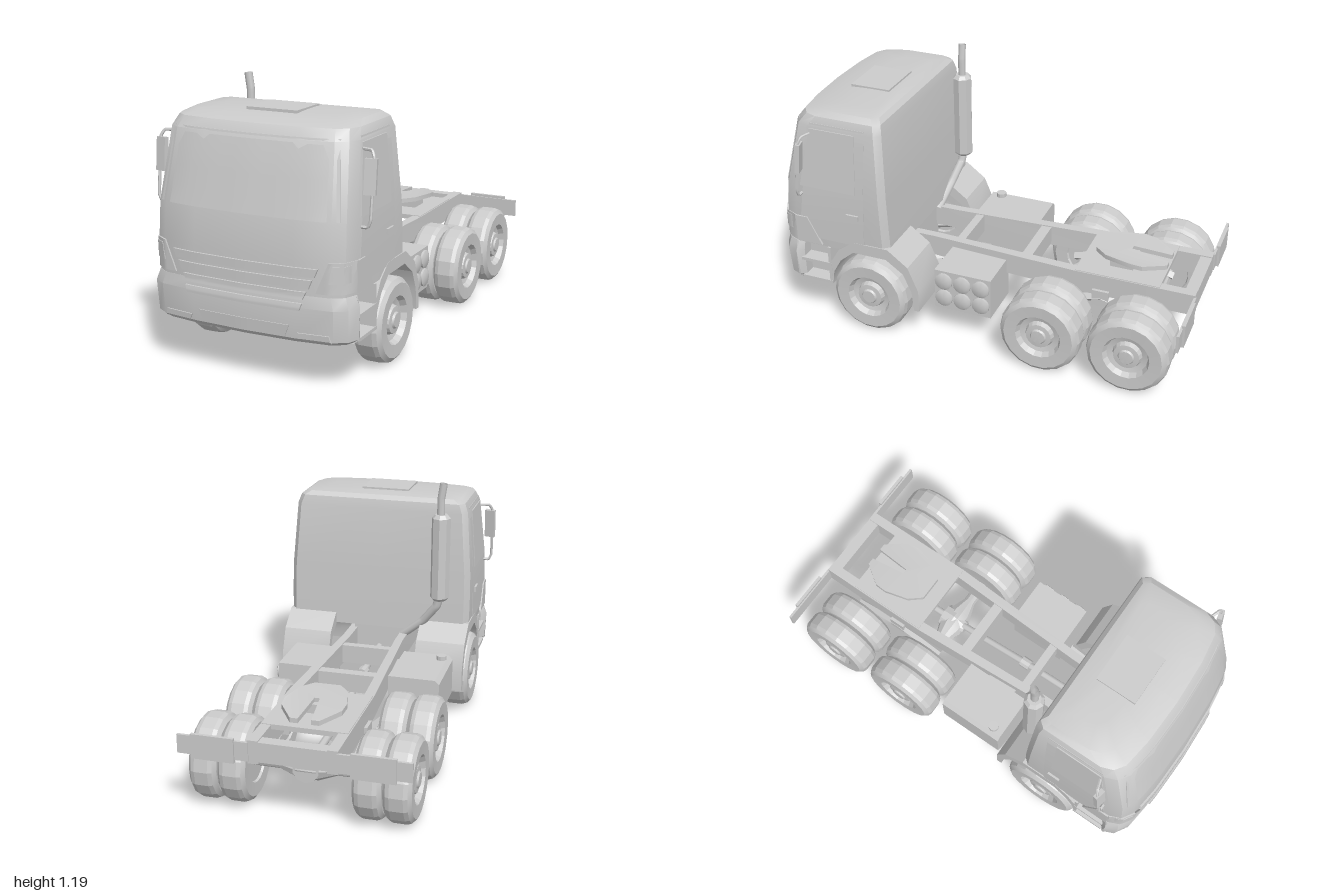
import * as THREE from 'three';
import { toCreasedNormals } from 'three/addons/utils/BufferGeometryUtils.js';

const grey = new THREE.MeshStandardMaterial({ color: 0xcccccc, side: THREE.DoubleSide });

// Cab levels: height, half width, back z, front z
const CAB = [
  [0.42, 0.462, 0.395, 0.985], [0.56, 0.465, 0.40, 0.985], [0.72, 0.462, 0.408, 0.972],
  [1.03, 0.437, 0.425, 0.9], [1.075, 0.42, 0.435, 0.865], [1.095, 0.39, 0.455, 0.79], [1.102, 0.3, 0.5, 0.7],
];
const BUMPER = [
  [0.215, 0.455, 0.85, 0.965], [0.235, 0.478, 0.85, 0.985], [0.37, 0.482, 0.85, 0.995], [0.42, 0.465, 0.85, 0.985],
];
const LEVELS = [...BUMPER, ...CAB.slice(1)];
// Bow of the front face: share of half width, setback
const BOW = [[0, 0], [0.5, 0.008], [0.84, 0.028], [0.95, 0.06], [1, 0.115]];

function interp(table, t, col) {
  const i = Math.max(1, table.findIndex((r) => r[0] >= t - 1e-6));
  const [a, b] = [table[i - 1], table[i]];
  return THREE.MathUtils.lerp(a[col], b[col], (t - a[0]) / (b[0] - a[0]));
}
const halfWidth = (y) => interp(LEVELS, y, 1);
const frontZ = (x, y) => interp(LEVELS, y, 3) - interp(BOW, Math.min(1, Math.abs(x) / halfWidth(y)), 1);

export function createModel() {
  const model = new THREE.Group();

  function add(name, geo, crease = 0.5) {
    const m = new THREE.Mesh(toCreasedNormals(geo, crease), grey);
    m.name = name;
    model.add(m);
    return m;
  }
  // Box from min/max corners
  function box(name, x0, x1, y0, y1, z0, z1) {
    const g = new THREE.BoxGeometry(Math.abs(x1 - x0), y1 - y0, z1 - z0);
    return add(name, g.translate((x0 + x1) / 2, (y0 + y1) / 2, (z0 + z1) / 2));
  }
  const curve = (pts) => {
    const path = new THREE.CurvePath();
    for (let i = 1; i < pts.length; i++) {
      path.add(new THREE.LineCurve3(new THREE.Vector3(...pts[i - 1]), new THREE.Vector3(...pts[i])));
    }
    return path;
  };
  const tube = (name, pts, r, sides = 8) =>
    add(name, new THREE.TubeGeometry(curve(pts), pts.length * 8, r, sides), 0.9);
  const lathe = (pts, seg) => new THREE.LatheGeometry(pts.map((p) => new THREE.Vector2(...p)), seg);

  // Stacked plan sections with closed ends
  function loft(name, levels) {
    const pos = [], idx = [];
    let n = 0;
    for (const [y, w, zb, zf] of levels) {
      const half = BOW.map(([s, d]) => [s * w, zf - d]);
      half.push([w, zb + 0.03], [w - 0.025, zb], [0, zb]);
      const ring = [...half, ...half.slice(1, -1).reverse().map(([x, z]) => [-x, z])];
      n = ring.length;
      ring.forEach(([x, z]) => pos.push(x, y, z));
    }
    const top = levels.length - 1;
    for (let j = 0; j < top; j++) for (let i = 0; i < n; i++) {
      const a = j * n + i, b = j * n + (i + 1) % n;
      idx.push(a, b, b + n, a, b + n, a + n);
    }
    const c = pos.length / 3;
    for (const l of [levels[0], levels[top]]) pos.push(0, l[0] + (l === levels[top] ? 0.004 : 0), (l[2] + l[3]) / 2);
    for (let i = 0; i < n; i++) {
      const k = (i + 1) % n;
      idx.push(c, k, i, c + 1, top * n + i, top * n + k);
    }
    const g = new THREE.BufferGeometry();
    g.setAttribute('position', new THREE.Float32BufferAttribute(pos, 3));
    g.setIndex(idx);
    return add(name, g);
  }
  // Thin slab following the front face; [left, right] edges at bottom and top
  function frontPanel(name, y0, y1, low, high, off) {
    const g = new THREE.BoxGeometry(1, 1, 1, 12, 4, 1), p = g.attributes.position, L = THREE.MathUtils.lerp;
    for (let i = 0; i < p.count; i++) {
      const u = p.getX(i) + 0.5, v = p.getY(i) + 0.5, y = L(y0, y1, v);
      const x = L(L(low[0], low[1], u), L(high[0], high[1], u), v);
      p.setXYZ(i, x, y, frontZ(x, y) + (p.getZ(i) > 0 ? off : -0.01));
    }
    return add(name, g);
  }
  // Thin slab following a cab side; [back, front] edges at bottom and top
  function sidePanel(name, s, y0, y1, low, high, off) {
    const g = new THREE.BoxGeometry(1, 1, 1, 1, 6, 1), p = g.attributes.position, L = THREE.MathUtils.lerp;
    for (let i = 0; i < p.count; i++) {
      const u = s > 0 ? 0.5 - p.getX(i) : 0.5 + p.getX(i), v = p.getY(i) + 0.5, y = L(y0, y1, v);
      p.setXYZ(i, s * (halfWidth(y) + (p.getZ(i) > 0 ? off : -0.01)), y, L(L(low[0], low[1], u), L(high[0], high[1], u), v));
    }
    return add(name, g);
  }

  // Cab and front details
  loft('cab', CAB);
  loft('bumper', BUMPER);
  frontPanel('windscreen', 0.725, 1.04, [-0.42, 0.42], [-0.385, 0.385], 0.004);
  [[0.5, 0.535, 0.325, 0.34], [0.45, 0.487, 0.3, 0.315], [0.405, 0.437, 0.275, 0.29], [0.36, 0.39, 0.265, 0.275]]
    .forEach(([a, b, l, h]) => frontPanel('grilleSlat', a, b, [-l, l], [-h, h], 0.009));
  frontPanel('numberPlatePanel', 0.24, 0.29, [-0.195, 0.195], [-0.215, 0.215], 0.004);
  box('roofHatch', -0.12, 0.12, 1.095, 1.112, 0.53, 0.725);
  box('engine', -0.13, 0.13, 0.24, 0.42, 0.42, 0.85);

  // Wheel profile: radius, distance along the axle
  const wheelGeo = lathe([
    [0, -0.05], [0.1, -0.05], [0.105, -0.06], [0.165, -0.0625], [0.184, -0.048], [0.191, -0.03],
    [0.191, 0.03], [0.184, 0.048], [0.165, 0.0625], [0.108, 0.06], [0.095, 0.035], [0.068, 0.028],
    [0.06, 0.05], [0.038, 0.052], [0.032, 0.06], [0, 0.06]], 18).rotateZ(-Math.PI / 2);

  // Mudguard outline over the front wheel, as (-z, y)
  const guard = new THREE.Shape();
  [[-0.71, 0.22], [-0.71, 0.33], [-0.655, 0.42], [-0.58, 0.475], [-0.4, 0.475], [-0.3, 0.4], [-0.25, 0.28], [-0.25, 0.17],
    [-0.275, 0.17], [-0.285, 0.27], [-0.325, 0.36], [-0.41, 0.42], [-0.58, 0.42], [-0.65, 0.36], [-0.69, 0.29], [-0.7, 0.22]]
    .forEach(([a, b], i) => (i ? guard.lineTo(a, b) : guard.moveTo(a, b)));

  for (const s of [1, -1]) {
    // Wheels
    const wheel = (name, x, z, w) => {
      const m = add(name, wheelGeo.clone().scale(w, 1, 1), 0.3);
      m.position.set(s * x, 0.195, z);
      if (s < 0) m.rotation.y = Math.PI;
    };
    wheel('frontWheel', 0.413, 0.507, 1.08);
    for (const z of [-0.347, -0.758]) {
      wheel('rearOuterWheel', 0.425, z, 1);
      wheel('rearInnerWheel', 0.295, z, 1);
    }

    // Front mudguard and entry steps
    const mg = new THREE.ExtrudeGeometry(guard, { depth: 0.245, bevelEnabled: false }).rotateY(Math.PI / 2);
    add('frontMudguard', mg.translate(s > 0 ? 0.223 : -0.468, 0, 0));
    box('stepWell', s * 0.3, s * 0.4, 0.22, 0.42, 0.7, 0.86);
    for (const y of [0.22, 0.32]) box('cabStep', s * 0.39, s * 0.472, y, y + 0.015, 0.7, 0.86);
    box('stepPost', s * 0.39, s * 0.47, 0.22, 0.42, 0.7, 0.715);

    // Lamps and bumper corners
    const pair = (a, b) => (s > 0 ? [a, b] : [-b, -a]);
    frontPanel('headlight', 0.435, 0.565, pair(0.33, 0.466), pair(0.385, 0.468), 0.008);
    frontPanel('headlightLens', 0.48, 0.55, pair(0.385, 0.455), pair(0.4, 0.455), 0.012);
    frontPanel('fogLight', 0.23, 0.262, pair(0.265, 0.395), pair(0.25, 0.385), 0.006);
    sidePanel('cornerTrim', s, 0.43, 0.565, [0.74, 0.87], [0.81, 0.87], 0.008);

    // Doors
    sidePanel('door', s, 0.46, 1.045, [0.52, 0.86], [0.5, 0.775], 0.002);
    sidePanel('sideWindow', s, 0.73, 1.02, [0.55, 0.835], [0.55, 0.775], 0.005);
    sidePanel('doorHandle', s, 0.6, 0.625, [0.54, 0.6], [0.54, 0.6], 0.012);

    // Mirrors
    tube('mirrorFrame', [[s * 0.45, 0.69, 0.83], [s * 0.49, 0.69, 0.83], [s * 0.503, 0.72, 0.83], [s * 0.503, 0.97, 0.8],
      [s * 0.49, 0.995, 0.79], [s * 0.43, 0.995, 0.77]], 0.007, 6);
    const mirror = add('mirror', new THREE.BoxGeometry(0.05, 0.145, 0.022));
    mirror.position.set(s * 0.493, 0.892, 0.81);
    mirror.rotation.set(-0.1, s * 0.2, 0);

    // Chassis rail, drawn as (x, -z) and extruded upward
    const rail = new THREE.Shape();
    [[0.155, -0.87], [0.155, -0.3], [0.195, 0.42], [0.195, 0.985], [0.148, 0.985], [0.148, 0.42], [0.115, -0.3], [0.115, -0.87]]
      .forEach(([a, b], i) => (i ? rail.lineTo(s * a, b) : rail.moveTo(s * a, b)));
    add('chassisRail', new THREE.ExtrudeGeometry(rail, { depth: 0.105, bevelEnabled: false })
      .rotateX(-Math.PI / 2).translate(0, 0.29, 0));

    // Springs
    tube('rearSpring', [[s * 0.19, 0.22, -0.8], [s * 0.19, 0.28, -0.55], [s * 0.19, 0.22, -0.3]], 0.022, 4);
    tube('frontSpring', [[s * 0.2, 0.29, 0.24], [s * 0.2, 0.22, 0.5], [s * 0.2, 0.28, 0.78]], 0.02, 4);
    box('springBracket', s * 0.15, s * 0.21, 0.24, 0.32, -0.59, -0.51);

    // Rear lamps
    box('rearLampBoard', s * 0.19, s * 0.505, 0.3, 0.385, -0.99, -0.978);
    box('rearLamp', s * 0.25, s * 0.44, 0.287, 0.398, -1, -0.985);
  }

  // Crossmembers and coupling base
  for (const [a, b, w] of [[-0.985, -0.93, 0.19], [-0.19, -0.14, 0.15], [0.16, 0.2, 0.13]]) box('crossmember', -w, w, 0.3, 0.39, a, b);
  box('couplingBase', -0.19, 0.19, 0.375, 0.398, -0.82, -0.42);
  box('couplingPedestal', -0.1, 0.1, 0.39, 0.44, -0.67, -0.56);

  // Coupling plate with rear slot, drawn as (x, -z); its tail slopes down
  const plate = new THREE.Shape();
  [[-0.06, 0.48], [0.06, 0.48], [0.11, 0.54], [0.14, 0.66], [0.135, 0.72], [0.065, 0.82], [0.03, 0.82], [0.012, 0.64],
    [-0.012, 0.64], [-0.03, 0.82], [-0.065, 0.82], [-0.135, 0.72], [-0.14, 0.66], [-0.11, 0.54]]
    .forEach(([a, b], i) => (i ? plate.lineTo(a, b) : plate.moveTo(a, b)));
  const plateGeo = new THREE.ExtrudeGeometry(plate, { depth: 0.022, bevelEnabled: false }).rotateX(-Math.PI / 2);
  const pp = plateGeo.attributes.position;
  for (let i = 0; i < pp.count; i++) pp.setY(i, pp.getY(i) + 0.437 - Math.max(0, -pp.getZ(i) - 0.64) * 0.11);
  add('couplingPlate', plateGeo);

  // Axles, differentials and drive shaft
  for (const z of [-0.347, -0.758]) {
    add('rearAxle', lathe([[0, -0.37], [0.03, -0.37], [0.03, -0.13], [0.062, -0.045], [0.062, 0.045], [0.03, 0.13], [0.03, 0.37], [0, 0.37]], 10)
      .rotateZ(-Math.PI / 2)).position.set(0, 0.197, z);
    add('differential', lathe([[0, -0.06], [0.06, -0.06], [0.065, 0], [0.03, 0.07], [0, 0.07]], 10).rotateX(Math.PI / 2))
      .position.set(0, 0.2, z);
  }
  box('frontAxle', -0.37, 0.37, 0.165, 0.215, 0.485, 0.53);
  tube('driveShaft', [[0, 0.3, 0.45], [0, 0.28, 0.1], [0, 0.21, -0.35], [0, 0.2, -0.74]], 0.018, 8);
  add('shaftJoint', new THREE.CylinderGeometry(0.028, 0.028, 0.05, 10).rotateX(Math.PI / 2)).position.set(0, 0.28, 0.1);

  // Fuel tank with chamfered edges
  const tank = new THREE.Shape();
  [[-0.405, 0.15], [-0.18, 0.15], [-0.18, 0.365], [-0.405, 0.365], [-0.425, 0.345], [-0.425, 0.17]]
    .forEach(([a, b], i) => (i ? tank.lineTo(a, b) : tank.moveTo(a, b)));
  add('fuelTank', new THREE.ExtrudeGeometry(tank, { depth: 0.33, bevelEnabled: false }).translate(0, 0, -0.105));
  add('fuelCap', new THREE.CylinderGeometry(0.025, 0.025, 0.025, 12)).position.set(-0.38, 0.373, 0.17);
  box('tankBracket', -0.2, -0.13, 0.29, 0.35, 0, 0.15);

  // Air tank rack
  box('airTankRack', 0.15, 0.375, 0.155, 0.36, -0.075, 0.208);
  for (const y of [0.307, 0.217]) for (const z of [0.16, 0.067, -0.026]) {
    add('airTank', lathe([[0.043, 0], [0.043, 0.012], [0.03, 0.018], [0, 0.02]], 14).rotateZ(-Math.PI / 2)).position.set(0.373, y, z);
  }

  // Exhaust stack
  add('silencer', lathe([[0, 0.605], [0.032, 0.605], [0.047, 0.62], [0.047, 1.025], [0.032, 1.042], [0, 1.042]], 8)).position.set(-0.325, 0, 0.355);
  tube('exhaustTip', [[-0.322, 1.03, 0.355], [-0.322, 1.12, 0.355], [-0.333, 1.195, 0.355]], 0.019);
  tube('exhaustPipe', [[-0.325, 0.62, 0.355], [-0.31, 0.57, 0.36], [-0.24, 0.48, 0.385], [-0.12, 0.38, 0.41]], 0.021);

  return model;
}
